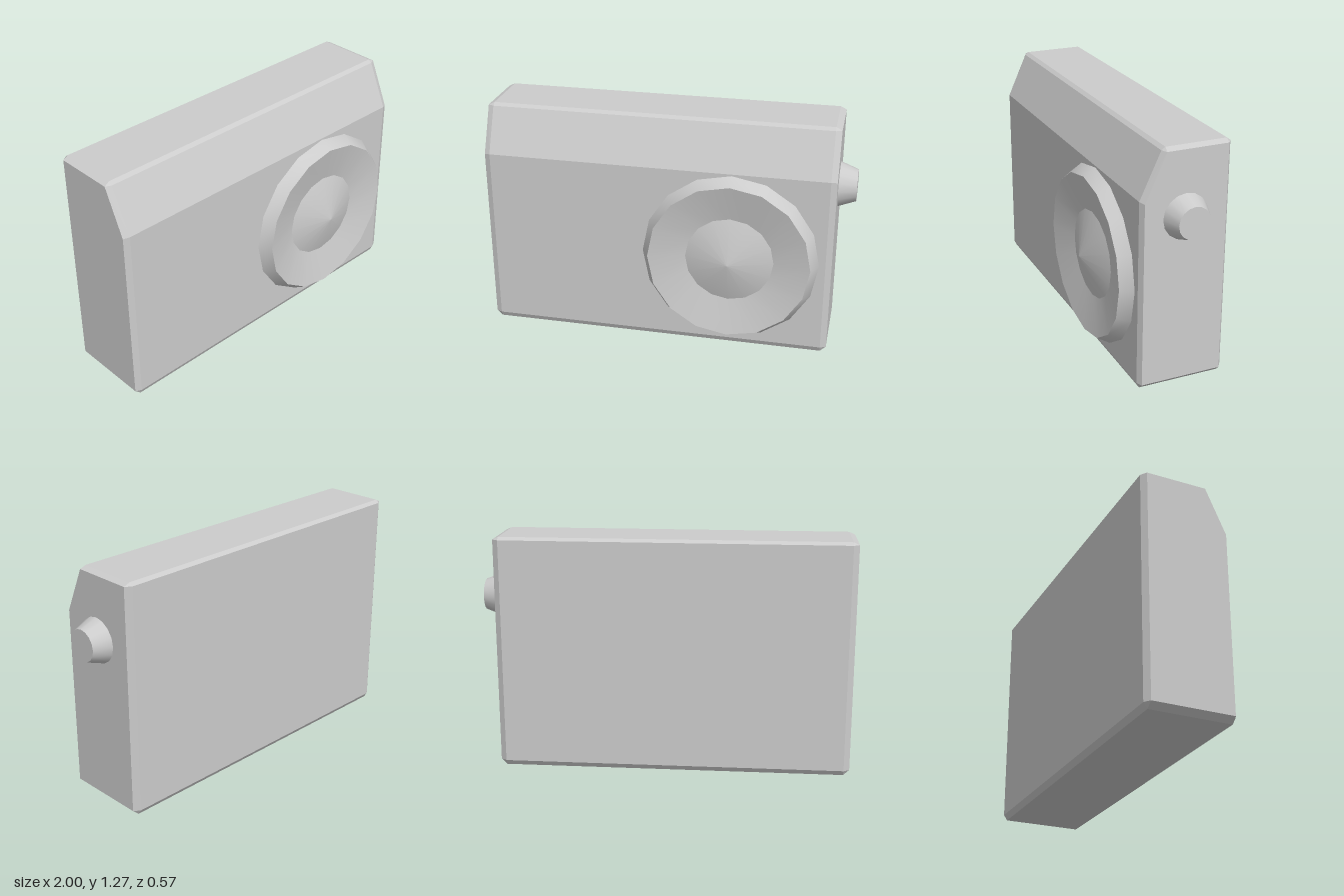
import * as THREE from 'three';
import { toCreasedNormals } from 'three/addons/utils/BufferGeometryUtils.js';
import { ConvexGeometry } from 'three/addons/geometries/ConvexGeometry.js';

const material = new THREE.MeshStandardMaterial({ color: 0xcccccc });

function addPart(group, name, geometry) {
  const mesh = new THREE.Mesh(geometry, material);
  mesh.name = name;
  group.add(mesh);
  return mesh;
}

// Case: side profile with a sloped upper front, bevelled toward both ends
function caseGeometry() {
  const middle = [ // [z, y]
    [0.175, 0], [0.19, 0.03], [0.19, 1.015], [0.08, 1.255], [0.06, 1.27],
    [-0.265, 1.27], [-0.285, 1.255], [-0.285, 0.03], [-0.265, 0],
  ];
  const end = [[0.175, 0.03], [0.175, 1.01], [0.065, 1.255], [-0.262, 1.255], [-0.262, 0.03]];
  const points = [];
  const addSection = (x, profile) => {
    for (const [z, y] of profile) points.push(new THREE.Vector3(x, y, z));
  };
  addSection(-1, end);
  addSection(-0.968, middle);
  addSection(0.873, middle);
  addSection(0.905, end);
  return new ConvexGeometry(points);
}

// Dial: tapered rim, shallow dish and a low central cone
function dialGeometry() {
  const profile = [[0.48, 0], [0.44, 0.067], [0.24, 0.021], [0, 0.097]]
    .map(([r, h]) => new THREE.Vector2(r, h));
  return toCreasedNormals(new THREE.LatheGeometry(profile, 16), 0.45);
}

export function createModel() {
  const model = new THREE.Group();
  model.name = 'pocketRadio';

  addPart(model, 'case', caseGeometry());

  const dial = addPart(model, 'speakerDial', dialGeometry());
  dial.rotation.x = Math.PI / 2;
  dial.position.set(0.36, 0.527, 0.189);

  // Tapered knob on the left side
  const knob = addPart(model, 'sideKnob', new THREE.CylinderGeometry(0.085, 0.12, 0.095, 16));
  knob.rotation.z = -Math.PI / 2;
  knob.position.set(0.9525, 0.915, -0.042);

  return model;
}
